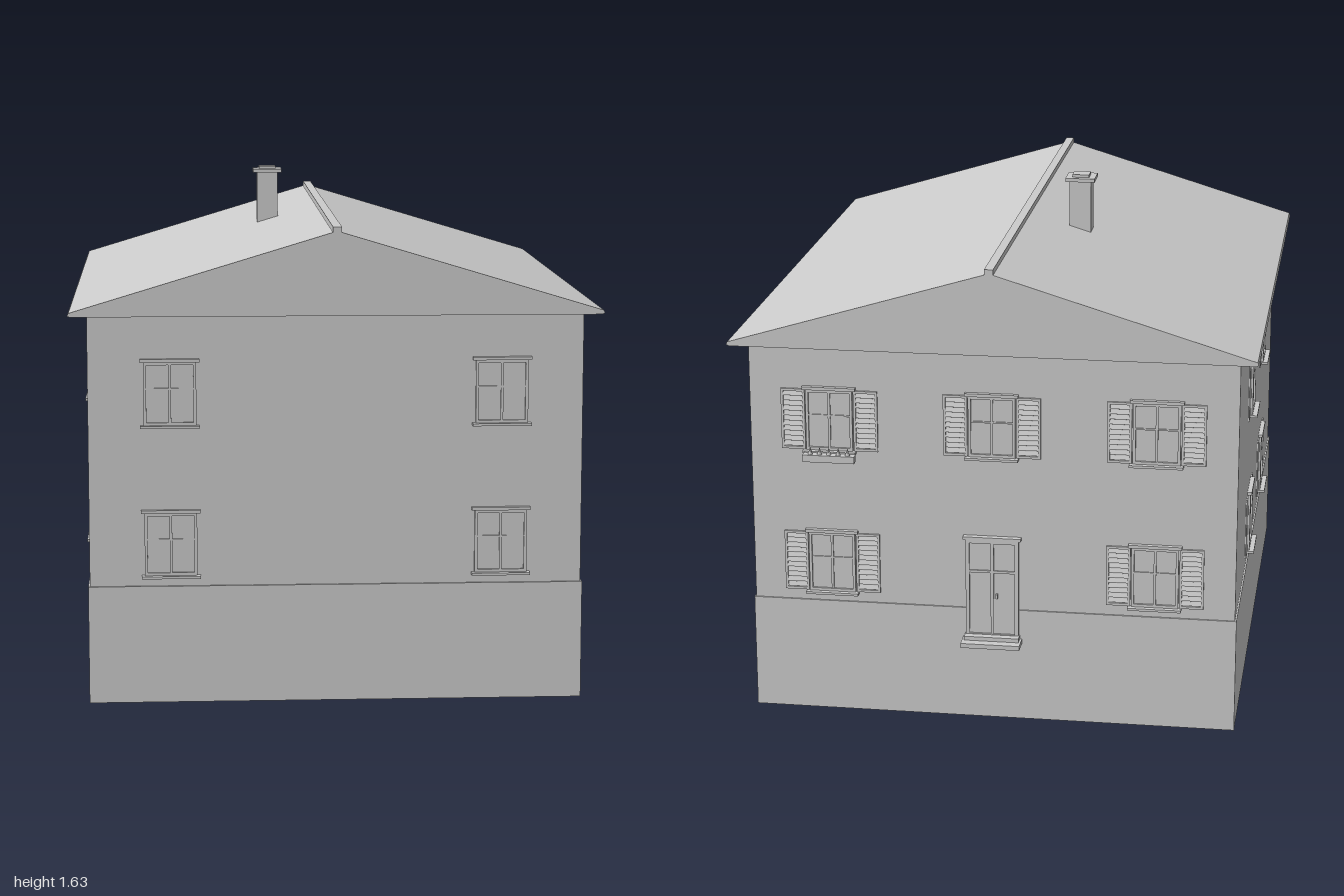
import * as THREE from 'three';

export function createModel() {
  const model = new THREE.Group();
  model.name = 'house';
  const plaster = new THREE.MeshStandardMaterial({ color: 0xcccccc });
  plaster.name = 'light grey plaster';

  // Box given by its limits on each axis
  function box(parent, name, x0, x1, y0, y1, z0, z1) {
    const mesh = new THREE.Mesh(new THREE.BoxGeometry(x1 - x0, y1 - y0, z1 - z0), plaster);
    mesh.position.set((x0 + x1) / 2, (y0 + y1) / 2, (z0 + z1) / 2);
    mesh.name = name;
    parent.add(mesh);
    return mesh;
  }

  // Walls and plinth
  box(model, 'plinth', -0.781, 0.781, 0, 0.375, -0.935, 0.955);
  box(model, 'walls', -0.776, 0.776, 0.375, 1.24, -0.93, 0.948);

  // Solid gabled roof with a small lip along the eaves
  const profile = new THREE.Shape([
    [-0.825, 1.234], [0.825, 1.234], [0.834, 1.238], [0.83, 1.247],
    [0, 1.497], [-0.83, 1.247], [-0.834, 1.238],
  ].map(([x, y]) => new THREE.Vector2(x, y)));
  const roof = new THREE.Mesh(
    new THREE.ExtrudeGeometry(profile, { depth: 1.985, bevelEnabled: false }), plaster);
  roof.position.z = -0.985;
  roof.name = 'roof';
  model.add(roof);
  box(model, 'ridgeCap', -0.014, 0.014, 1.485, 1.51, -0.985, 1);

  // Chimney with stepped cap
  const chimney = new THREE.Group();
  chimney.name = 'chimney';
  chimney.position.set(-0.18, 0, -0.115);
  model.add(chimney);
  box(chimney, 'chimneyShaft', -0.036, 0.036, 1.38, 1.605, -0.036, 0.036);
  box(chimney, 'chimneyCap', -0.049, 0.049, 1.605, 1.617, -0.049, 0.049);
  box(chimney, 'chimneyTop', -0.028, 0.028, 1.617, 1.626, -0.028, 0.028);

  // Group on a wall: local x runs along the wall, local z points outward
  const walls = {
    front: { angle: 0, at: u => [u, 0, 0.948] },
    back: { angle: Math.PI, at: u => [u, 0, -0.93] },
    right: { angle: Math.PI / 2, at: u => [0.776, 0, u] },
    left: { angle: -Math.PI / 2, at: u => [-0.776, 0, u] },
  };
  function onWall(wall, u, name) {
    const group = new THREE.Group();
    group.name = name;
    group.position.set(...walls[wall].at(u));
    group.rotation.y = walls[wall].angle;
    model.add(group);
    return group;
  }

  // Border of four bars around an opening
  function border(parent, name, x0, x1, y0, y1, t, depth) {
    box(parent, name, x0, x0 + t, y0, y1, 0, depth);
    box(parent, name, x1 - t, x1, y0, y1, 0, depth);
    box(parent, name, x0 + t, x1 - t, y0, y0 + t, 0, depth);
    box(parent, name, x0 + t, x1 - t, y1 - t, y1, 0, depth);
  }

  function shutter(parent, x0, x1, y0, y1, louvred) {
    if (!louvred) {
      box(parent, 'shutter', x0, x1, y0, y1, 0, 0.004);
      return;
    }
    border(parent, 'shutterFrame', x0, x1, y0, y1, 0.008, 0.007);
    const count = 11;
    for (let i = 0; i < count; i++) {
      const y = y0 + 0.008 + (i + 0.5) * (y1 - y0 - 0.016) / count;
      const slat = box(parent, 'shutterSlat', x0 + 0.008, x1 - 0.008, y - 0.007, y + 0.007, 0.001, 0.003);
      slat.rotation.x = -0.35;
    }
  }

  // Window with casing, cross bars, head, sill and optional shutters
  function addWindow(wall, u, base, width, shutters) {
    const g = onWall(wall, u, wall + 'Window');
    const h = width / 2, y0 = base + 0.008, y1 = base + 0.207;
    box(g, 'windowPane', -h, h, y0, y1, 0, 0.003);
    border(g, 'windowFrame', -h, h, y0, y1, 0.009, 0.01);
    box(g, 'windowMullion', -0.004, 0.004, y0, y1, 0, 0.008);
    box(g, 'windowBar', -h, h, base + 0.12, base + 0.125, 0, 0.007);
    box(g, 'windowHead', -h - 0.01, h + 0.01, y1, y1 + 0.01, 0, 0.015);
    box(g, 'windowSill', -h - 0.01, h + 0.01, base, y0, 0, 0.026);
    if (shutters) {
      for (const s of [-1, 1]) {
        const a = s * (h + 0.003), b = s * (h + 0.08);
        shutter(g, Math.min(a, b), Math.max(a, b), y0, y1, shutters === 'louvred');
      }
    }
    return g;
  }

  const lower = 0.402, upper = 0.88;
  for (const base of [lower, upper]) {
    for (const s of [-1, 1]) {
      addWindow('front', s * 0.52, base, 0.165);
      addWindow('left', s * 0.31, base, 0.145, 'plain');
      addWindow('back', s * 0.52, base, 0.15, 'louvred');
    }
    addWindow('right', -0.305, base, 0.145, 'plain');
  }
  addWindow('right', 0.32, lower, 0.145, 'plain');
  addWindow('back', 0, upper, 0.15, 'louvred');

  // Flower box below one upper back window
  const planter = onWall('back', 0.515, 'flowerBox');
  box(planter, 'flowerBoxBody', -0.083, 0.083, 0.862, 0.885, 0.03, 0.058);
  box(planter, 'flowerBoxBracket', -0.06, 0.06, 0.872, 0.88, 0, 0.03);
  for (let i = 0; i < 5; i++) {
    const plant = new THREE.Mesh(new THREE.ConeGeometry(0.009, 0.025, 5), plaster);
    plant.position.set(-0.06 + i * 0.03, 0.896, 0.044);
    plant.name = 'plant';
    planter.add(plant);
  }

  // Back door with transom, two leaves and steps
  const door = onWall('back', 0, 'door');
  box(door, 'doorPanel', -0.08, 0.08, 0.285, 0.61, 0, 0.008);
  border(door, 'doorFrame', -0.085, 0.085, 0.28, 0.612, 0.012, 0.016);
  box(door, 'doorHead', -0.093, 0.093, 0.612, 0.622, 0, 0.02);
  box(door, 'doorMullion', -0.005, 0.005, 0.29, 0.6, 0, 0.013);
  box(door, 'doorTransom', -0.073, 0.073, 0.5, 0.508, 0, 0.013);
  box(door, 'doorHandle', 0.012, 0.018, 0.415, 0.43, 0, 0.02);
  box(door, 'doorStep', -0.095, 0.095, 0.262, 0.277, 0, 0.07);
  box(door, 'doorThreshold', -0.088, 0.088, 0.277, 0.29, 0, 0.04);

  return model;
}
